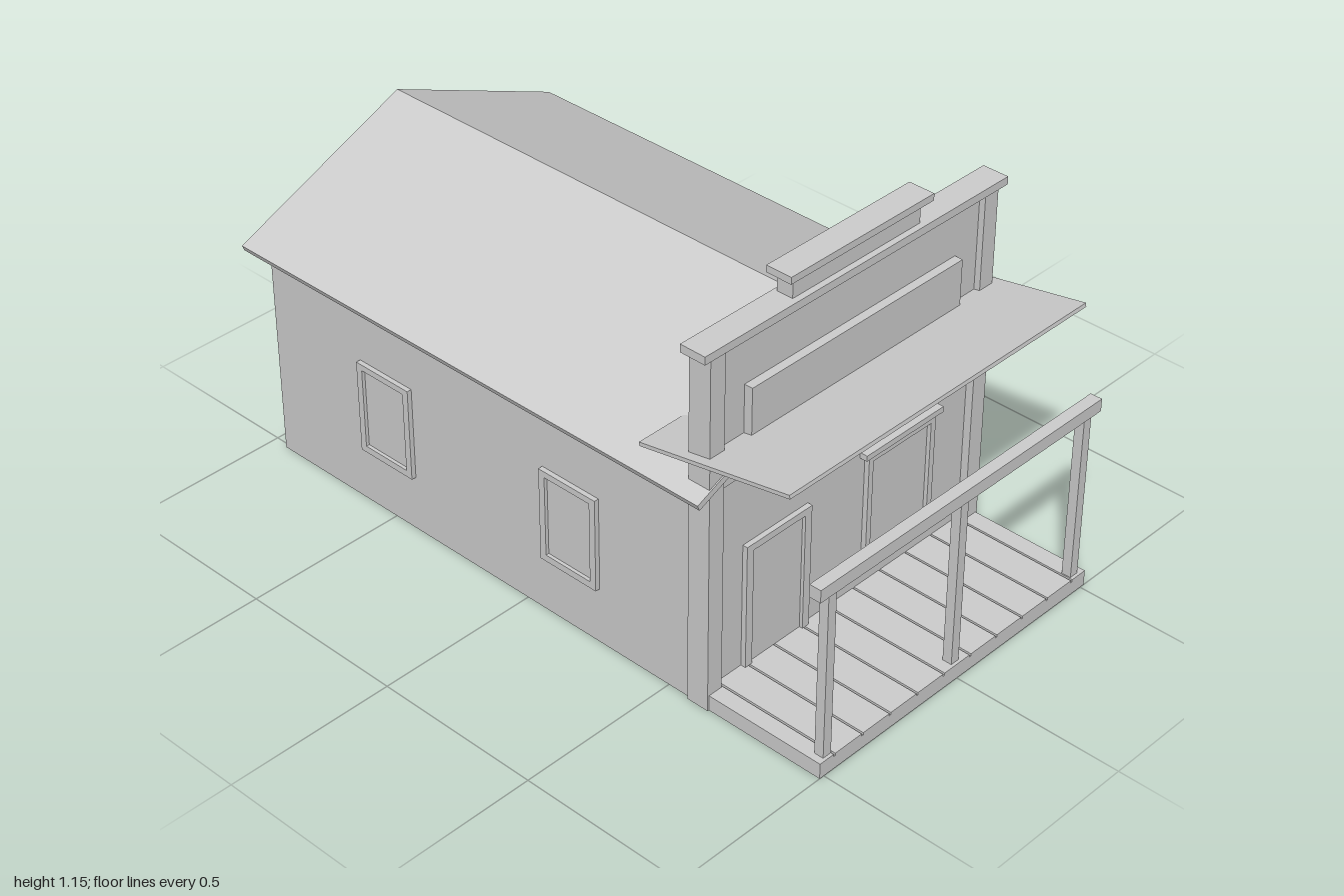
import * as THREE from 'three';

const paint = new THREE.MeshStandardMaterial({ color: 0xcccccc });
paint.name = 'plain grey';

// Adds a box given by its min and max on each axis
function box(parent, name, x0, x1, y0, y1, z0, z1) {
  const mesh = new THREE.Mesh(new THREE.BoxGeometry(x1 - x0, y1 - y0, z1 - z0), paint);
  mesh.position.set((x0 + x1) / 2, (y0 + y1) / 2, (z0 + z1) / 2);
  mesh.name = name;
  parent.add(mesh);
  return mesh;
}

// Adds an outline in x and y, extruded from z0 to z1, with an optional hole
function prism(parent, name, points, z0, z1, hole) {
  const toVectors = list => list.map(([x, y]) => new THREE.Vector2(x, y));
  const shape = new THREE.Shape(toVectors(points));
  if (hole) shape.holes.push(new THREE.Path(toVectors(hole)));
  const geometry = new THREE.ExtrudeGeometry(shape, { depth: z1 - z0, bevelEnabled: false });
  const mesh = new THREE.Mesh(geometry, paint);
  mesh.position.z = z0;
  mesh.name = name;
  parent.add(mesh);
  return mesh;
}

const rect = (x0, x1, y0, y1) => [[x0, y0], [x1, y0], [x1, y1], [x0, y1]];

export function createModel() {
  const model = new THREE.Group();
  model.name = 'storefront';

  // Main building with gable and pitched roof
  box(model, 'body', -0.512, 0.512, 0, 0.635, -0.95, 0.615);
  prism(model, 'gable', [[-0.512, 0.635], [0.512, 0.635], [0.512, 0.66], [0, 0.878], [-0.512, 0.66]], -0.95, 0.6);
  prism(model, 'roof', [
    [0, 0.895], [-0.565, 0.655], [-0.558, 0.638], [0, 0.877], [0.558, 0.638], [0.565, 0.655],
  ], -1, 0.642);

  // False front
  const facade = new THREE.Group();
  facade.name = 'falseFront';
  model.add(facade);
  box(facade, 'parapetWall', -0.475, 0.475, 0.635, 1.045, 0.585, 0.62);
  for (const s of [-1, 1]) {
    box(facade, 'pilaster', s * 0.495 - 0.025, s * 0.495 + 0.025, 0, 1.045, 0.57, 0.638);
  }
  box(facade, 'cornice', -0.547, 0.547, 1.045, 1.068, 0.567, 0.645);
  box(facade, 'crown', -0.23, 0.23, 1.068, 1.127, 0.578, 0.627);
  box(facade, 'crownCap', -0.257, 0.257, 1.127, 1.147, 0.567, 0.645);
  box(facade, 'signBoard', -0.384, 0.384, 0.73, 0.9, 0.615, 0.645);

  // Tilted awning, running through the false front
  const awning = box(model, 'awning', -0.547, 0.547, 0.76, 0.771, 0.4315, 0.9135);
  awning.rotation.x = -Math.atan2(0.088, 0.475);

  // Porch deck with narrow grooves between the planks
  const porch = new THREE.Group();
  porch.name = 'porch';
  model.add(porch);
  box(porch, 'deckBase', -0.515, 0.515, 0, 0.039, 0.61, 1);
  const grooves = Array.from({ length: 10 }, (_, i) => -0.463 + i * 0.1025);
  const edges = [-0.518, ...grooves, 0.518];
  for (let i = 0; i < edges.length - 1; i++) {
    box(porch, 'plank', edges[i] + 0.003, edges[i + 1] - 0.003, 0.039, 0.046, 0.61, 1);
  }
  for (const x of [-0.48, 0, 0.48]) {
    box(porch, 'post', x - 0.014, x + 0.014, 0.045, 0.54, 0.963, 0.991);
  }
  box(porch, 'beam', -0.528, 0.528, 0.54, 0.577, 0.96, 0.995);

  // Door
  const door = new THREE.Group();
  door.name = 'door';
  model.add(door);
  prism(door, 'doorFrame', [
    [-0.375, 0.045], [-0.351, 0.045], [-0.351, 0.4], [-0.163, 0.4],
    [-0.163, 0.045], [-0.139, 0.045], [-0.139, 0.42], [-0.375, 0.42],
  ], 0.61, 0.63);
  box(door, 'doorPanel', -0.351, -0.163, 0.045, 0.4, 0.61, 0.62);

  // Front window
  const shopWindow = new THREE.Group();
  shopWindow.name = 'frontWindow';
  model.add(shopWindow);
  prism(shopWindow, 'windowFrame', rect(0.074, 0.333, 0.138, 0.453), 0.61, 0.63, rect(0.091, 0.315, 0.155, 0.432));
  box(shopWindow, 'windowPane', 0.091, 0.315, 0.155, 0.432, 0.61, 0.618);
  box(shopWindow, 'lintel', 0.055, 0.352, 0.453, 0.47, 0.61, 0.638);
  box(shopWindow, 'sill', 0.063, 0.345, 0.128, 0.14, 0.61, 0.636);

  // Side windows, two on each side
  for (const s of [-1, 1]) {
    for (const z of [0.163, -0.513]) {
      const side = new THREE.Group();
      side.name = 'sideWindow';
      prism(side, 'windowFrame', rect(-0.098, 0.098, 0.17, 0.45), -0.002, 0.014, rect(-0.078, 0.078, 0.19, 0.432));
      box(side, 'windowPane', -0.078, 0.078, 0.19, 0.432, -0.002, 0.004);
      side.rotation.y = s * Math.PI / 2;
      side.position.set(s * 0.512, 0, z);
      model.add(side);
    }
  }
  return model;
}
